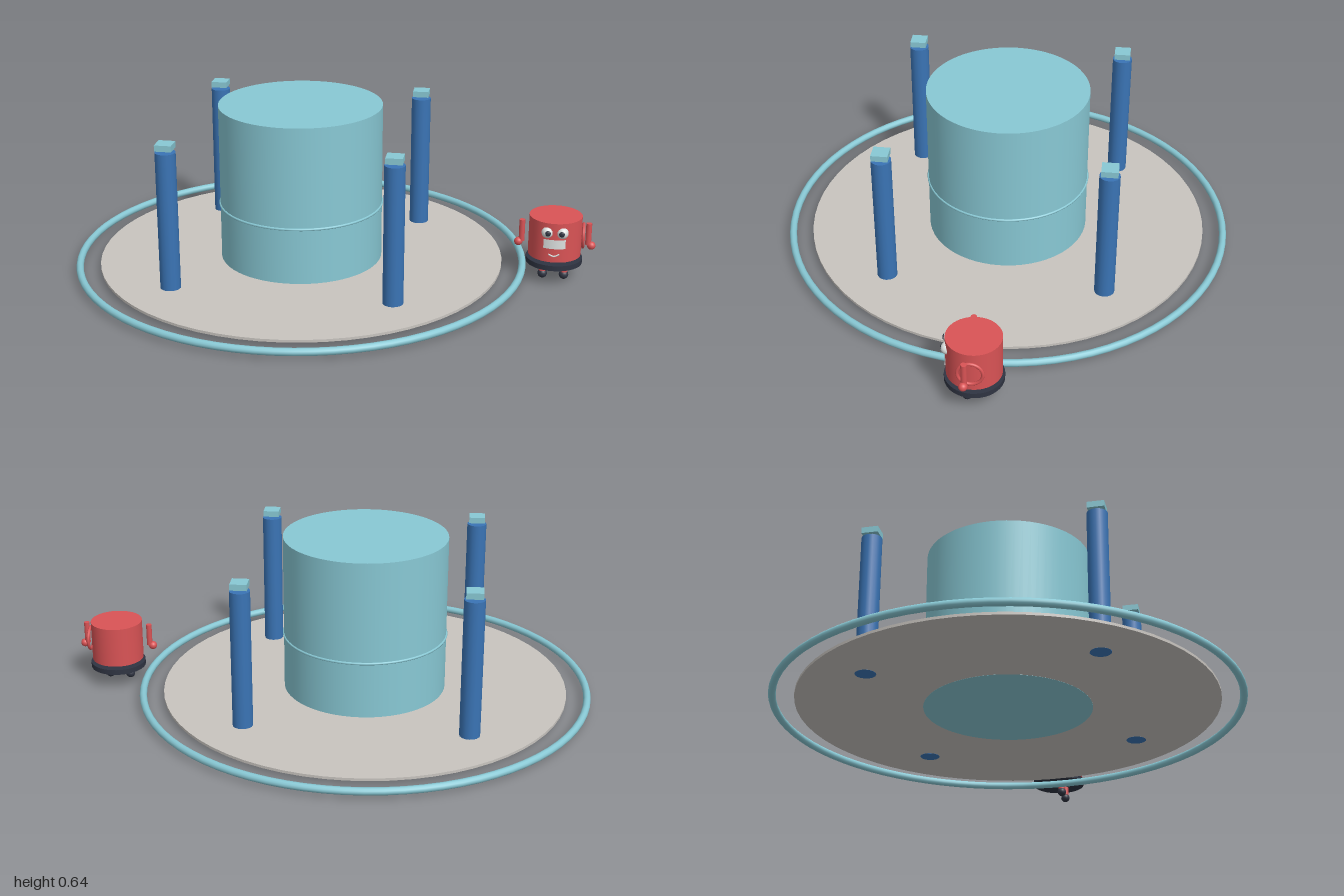
import * as THREE from 'three';

const mat = (name, color) => {
  const m = new THREE.MeshStandardMaterial({ color });
  m.name = name;
  return m;
};

export function createModel() {
  const teal = mat('teal', 0x88c8d4);
  const stone = mat('stone', 0xc8c4bf);
  const blue = mat('blue', 0x3a74b5);
  const red = mat('red', 0xd95355);
  const navy = mat('navy', 0x2f3442);
  const white = mat('white', 0xdfe3e2);

  const model = new THREE.Group();
  const add = (parent, name, geometry, material, x, y, z) => {
    const mesh = new THREE.Mesh(geometry, material);
    mesh.name = name;
    mesh.position.set(x, y, z);
    parent.add(mesh);
    return mesh;
  };
  const cyl = (r, y0, y1, n = 24) => new THREE.CylinderGeometry(r, r, y1 - y0, n);
  // Upright cylinder spanning y0 to y1
  const column = (parent, name, material, r, y0, y1, x, z, n) =>
    add(parent, name, cyl(r, y0, y1, n), material, x, (y0 + y1) / 2, z);

  // Platform, surrounding rail and central drum
  const arena = new THREE.Group();
  arena.name = 'arena';
  arena.position.x = -0.13;
  model.add(arena);
  column(arena, 'floor', stone, 0.777, 0.021, 0.031, 0, 0, 64);
  add(arena, 'outerRail', new THREE.TorusGeometry(0.856, 0.014, 12, 80), teal, 0, 0.026, 0).rotation.x = Math.PI / 2;
  column(arena, 'drum', teal, 0.311, 0.0205, 0.636, 0, 0, 64);
  add(arena, 'drumBand', new THREE.TorusGeometry(0.311, 0.005, 8, 64), teal, 0, 0.247, 0).rotation.x = Math.PI / 2;

  // Four pillars with floating square caps
  for (const sx of [-1, 1]) {
    for (const sz of [-1, 1]) {
      const x = sx * 0.413, z = sz * 0.413;
      column(arena, 'pillar', blue, 0.038, 0.0205, 0.557, x, z, 16);
      add(arena, 'pillarCap', new THREE.BoxGeometry(0.062, 0.023, 0.062), teal, x, 0.579, z);
    }
  }

  // Robot standing beside the rail
  const robot = new THREE.Group();
  robot.name = 'robot';
  robot.position.x = 0.844;
  model.add(robot);
  column(robot, 'body', red, 0.099, 0.096, 0.25, 0, 0, 40);
  column(robot, 'skirt', navy, 0.106, 0.064, 0.084, 0, 0, 40);

  for (const s of [-1, 1]) {
    // Legs and feet
    column(robot, 'leg', red, 0.014, 0.03, 0.066, s * 0.04, 0.02, 12);
    add(robot, 'foot', new THREE.SphereGeometry(0.018, 16, 12), navy, s * 0.04, 0.018, 0.02);
    // Arms and hands
    column(robot, 'arm', red, 0.011, 0.145, 0.23, s * 0.124, 0.018, 12);
    add(robot, 'hand', new THREE.SphereGeometry(0.016, 16, 12), red, s * 0.136, 0.142, 0.02);
    // Eyes and pupils
    add(robot, 'eye', new THREE.SphereGeometry(0.022, 20, 14), white, s * 0.028, 0.212, 0.089);
    const pupil = add(robot, 'pupil', new THREE.SphereGeometry(0.011, 14, 10), navy, s * 0.026, 0.213, 0.107);
    pupil.scale.z = 0.5;
  }

  // Curved mouth panel wrapped round the body, with a small smile line
  const wrap = (name, material, r, width, height, y) => {
    const half = width / 2 / r;
    material.side = THREE.DoubleSide;
    add(robot, name, new THREE.CylinderGeometry(r, r, height, 12, 1, true, -half, half * 2), material, 0, y, 0);
  };
  wrap('mouthPanel', white, 0.102, 0.084, 0.036, 0.169);
  const smile = new THREE.CatmullRomCurve3([
    new THREE.Vector3(-0.02, 0.128, 0.098),
    new THREE.Vector3(0, 0.121, 0.1),
    new THREE.Vector3(0.02, 0.13, 0.098),
  ]);
  add(robot, 'smile', new THREE.TubeGeometry(smile, 10, 0.003, 6), white, 0, 0, 0);

  // Round hoop on the left side of the body
  add(robot, 'sideHoop', new THREE.TorusGeometry(0.044, 0.006, 10, 32), red, 0.105, 0.173, 0).rotation.y = Math.PI / 2;

  return model;
}
